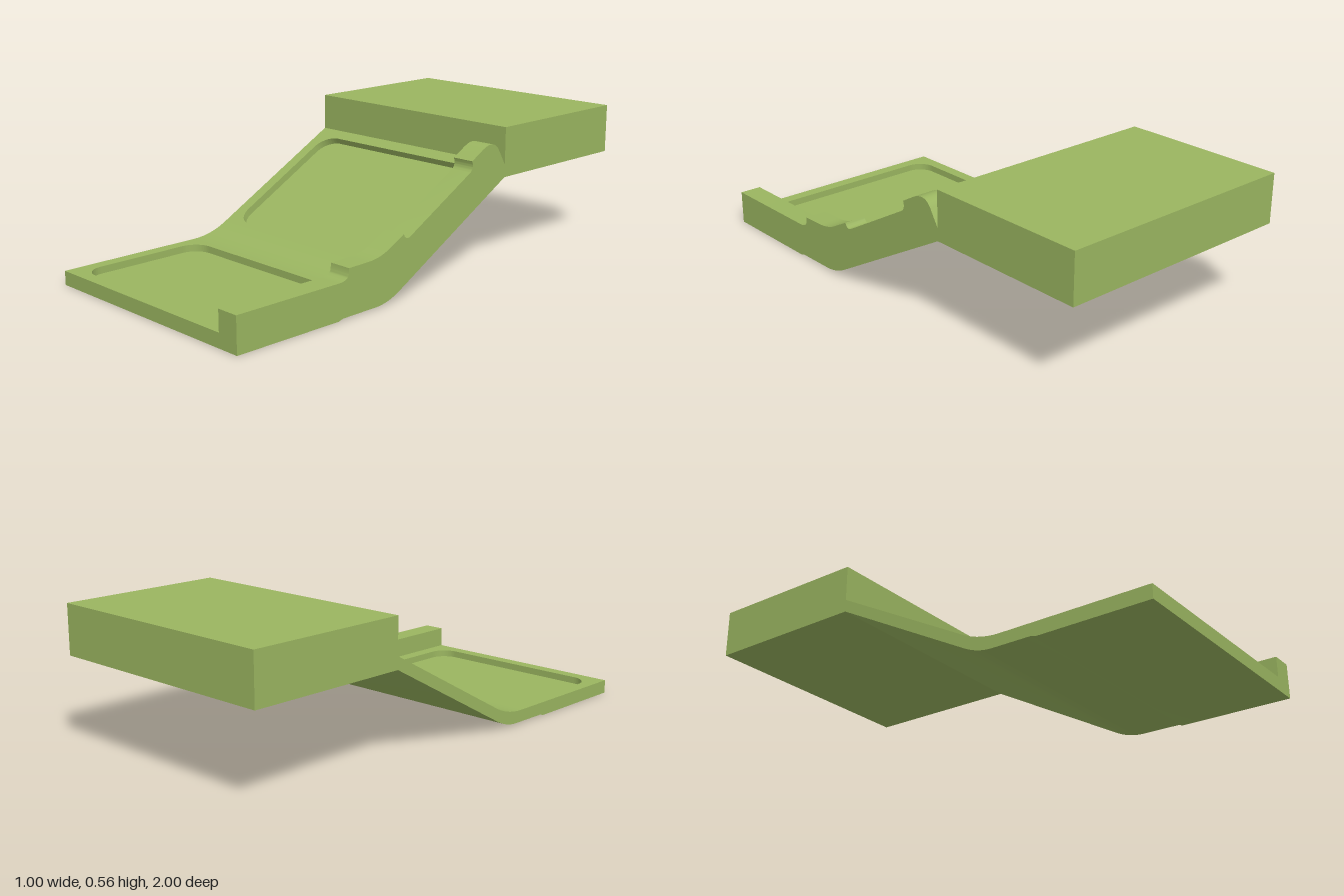
import * as THREE from 'three';
import { toCreasedNormals } from 'three/addons/utils/BufferGeometryUtils.js';

const LEFT = 0.5, RIGHT = -0.5, RAIL = 0.41, BACK = -0.333;
const SLOPE = 0.55, ANGLE = Math.atan(SLOPE), DEPTH = 0.028;
const BEND_FRONT = 0.4, BEND_BACK = 0.235;
const topY = z => 0.41 - (z - BACK) * SLOPE;

// Surface between two matching rows of points
function strip(a, b) {
  const pos = [];
  for (let i = 0; i < a.length - 1; i++) {
    for (const p of [a[i], b[i], b[i + 1], a[i], b[i + 1], a[i + 1]]) pos.push(...p);
  }
  const g = new THREE.BufferGeometry();
  g.setAttribute('position', new THREE.Float32BufferAttribute(pos, 3));
  return toCreasedNormals(g, 0.55);
}

// Sweep a (z, y) profile across the width
const sweep = (profile, x0, x1) =>
  strip(profile.map(p => [x0, p.y, p.x]), profile.map(p => [x1, p.y, p.x]));

// Flat side wall from a closed (z, y) outline; side is +1 or -1
function sideWall(outline, x, side) {
  const shape = new THREE.Shape(outline.map(p => new THREE.Vector2(-side * p.x, p.y)));
  return new THREE.ShapeGeometry(shape).rotateY(side * Math.PI / 2).translate(x, 0, 0);
}

function roundedRect(x0, x1, y0, y1, r) {
  const s = new THREE.Shape();
  s.moveTo(x0 + r, y0);
  s.absarc(x1 - r, y0 + r, r, -Math.PI / 2, 0);
  s.absarc(x1 - r, y1 - r, r, 0, Math.PI / 2);
  s.absarc(x0 + r, y1 - r, r, Math.PI / 2, Math.PI);
  s.absarc(x0 + r, y0 + r, r, Math.PI, Math.PI * 1.5);
  return s.getPoints(10);
}

export function createModel() {
  const model = new THREE.Group();
  const material = new THREE.MeshStandardMaterial({ color: 0x9ab560 });
  const add = (name, geometry, parent = model) => {
    const mesh = new THREE.Mesh(geometry, material);
    mesh.name = name;
    parent.add(mesh);
  };

  // Raised platform at the back
  add('platform', new THREE.BoxGeometry(1, 0.195, 1 + BACK)
    .translate(0, 0.4575, (BACK - 1) / 2));

  // Underside, from the platform down to the front edge
  const under = new THREE.Path();
  under.moveTo(BACK, 0.36);
  under.lineTo(0.25, 0.039);
  under.quadraticCurveTo(0.31, 0.007, 0.37, 0.007);
  under.lineTo(0.53, 0.006);
  under.lineTo(0.55, 0);
  under.lineTo(1, 0);
  const bottom = under.getPoints(8);
  add('underside', sweep(bottom, RIGHT, LEFT));

  // Front edge and the curved bend between the two panels
  const corner = new THREE.Vector2(1, 0.055);
  add('frontEdge', sweep([new THREE.Vector2(1, 0), corner], RIGHT, RAIL));
  const bend = new THREE.QuadraticBezierCurve(
    new THREE.Vector2(BEND_FRONT, 0.055),
    new THREE.Vector2(0.312, 0.055),
    new THREE.Vector2(BEND_BACK, topY(BEND_BACK))).getPoints(14);
  add('bend', sweep(bend, RIGHT, RAIL));
  const bedTop = [corner, ...bend, new THREE.Vector2(BACK, 0.41)];
  add('rightWall', sideWall([...bottom, ...bedTop], RIGHT, -1));

  // Panels with a rounded, sunken pocket
  const addPanel = (name, z, y, angle, length, from, to) => {
    const panel = new THREE.Group();
    panel.name = name;
    panel.position.set(0, y, z);
    panel.rotation.x = angle - Math.PI / 2;
    const edge = roundedRect(-0.45, 0.357, from, to, 0.075);
    const rim = new THREE.Shape([[RIGHT, 0], [RAIL, 0], [RAIL, length], [RIGHT, length]]
      .map(p => new THREE.Vector2(...p)));
    rim.holes.push(new THREE.Path(edge));
    add('rim', new THREE.ShapeGeometry(rim), panel);
    add('pocketFloor', new THREE.ShapeGeometry(new THREE.Shape(edge))
      .translate(0, 0, -DEPTH), panel);
    const loop = [...edge, edge[0]];
    add('pocketWall', strip(loop.map(p => [p.x, p.y, -DEPTH]),
      loop.map(p => [p.x, p.y, 0])), panel);
    model.add(panel);
  };
  const along = z => (BEND_BACK - z) / Math.cos(ANGLE);
  addPanel('flatPanel', 1, 0.055, 0, 1 - BEND_FRONT, 0.05, 0.58);
  addPanel('slopedPanel', BEND_BACK, topY(BEND_BACK), ANGLE,
    along(BACK), along(0.215), along(-0.29));

  // Side rail with steps, a notch and a rounded hump
  const railPath = new THREE.Path();
  railPath.moveTo(1, 0);
  railPath.lineTo(1, 0.137);
  railPath.lineTo(0.55, 0.137);
  railPath.quadraticCurveTo(0.505, 0.137, 0.502, 0.16);
  railPath.lineTo(0.5, 0.181);
  railPath.lineTo(0.4, 0.183);
  railPath.quadraticCurveTo(0.345, 0.185, 0.3, 0.209);
  railPath.lineTo(0.228, 0.247);
  railPath.quadraticCurveTo(0.218, 0.22, 0.195, 0.231);
  railPath.lineTo(-0.13, 0.411);
  railPath.quadraticCurveTo(-0.15, 0.425, -0.14, 0.453);
  railPath.lineTo(-0.2, 0.487);
  railPath.bezierCurveTo(-0.245, 0.51, -0.273, 0.503, -0.293, 0.475);
  railPath.lineTo(BACK, 0.41);
  const rail = railPath.getPoints(10);
  add('railTop', sweep(rail, RAIL, LEFT));
  add('railOuterWall', sideWall([...bottom, ...rail.slice(1)], LEFT, 1));
  add('railInnerWall', sideWall([...rail.slice(1), ...bedTop.slice(0, -1).reverse()], RAIL, -1));

  return model;
}
